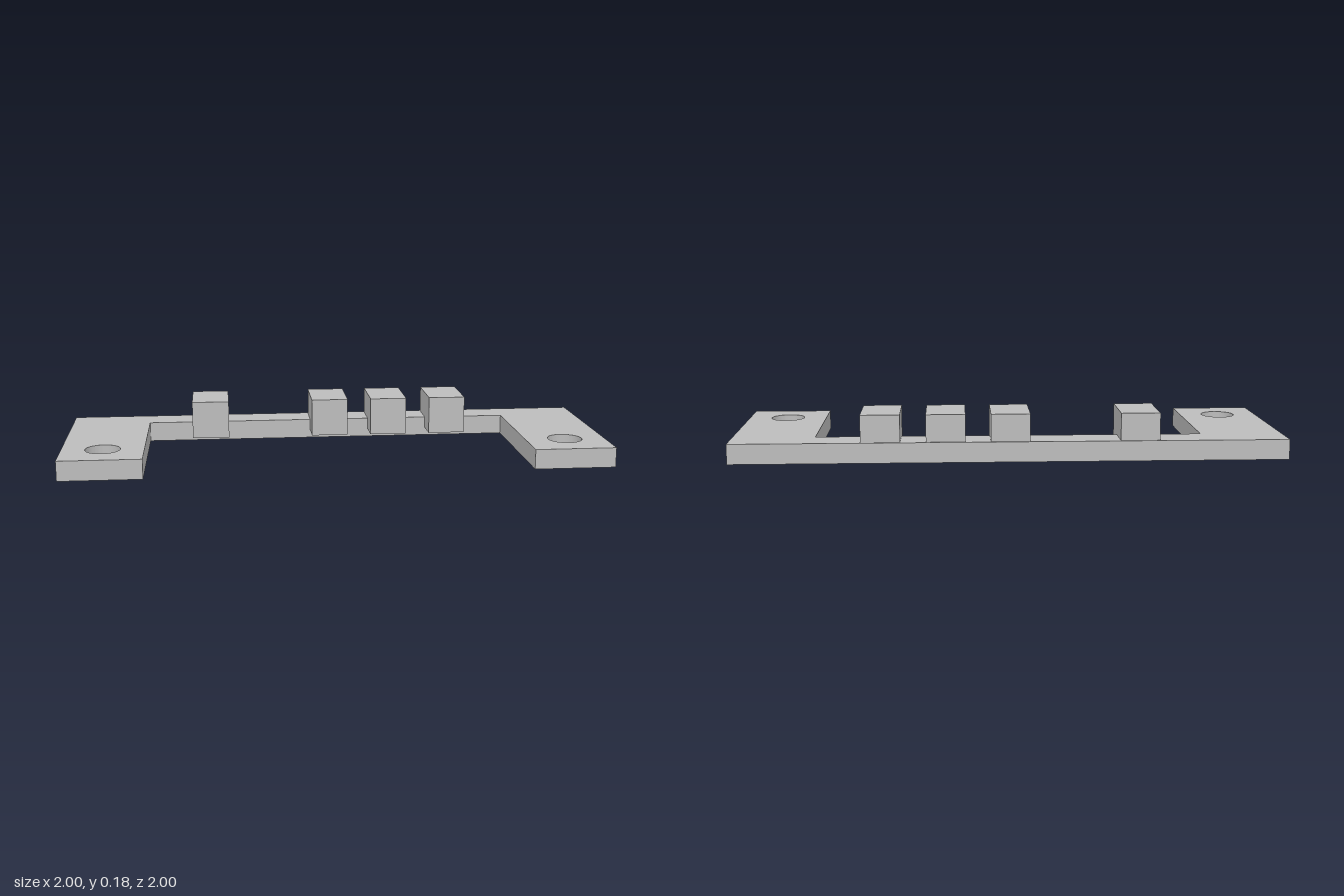
import * as THREE from 'three';
import { toCreasedNormals } from 'three/addons/utils/BufferGeometryUtils.js';

export function createModel() {
  const model = new THREE.Group();
  model.name = 'bracket';
  const grey = new THREE.MeshStandardMaterial({ color: 0xbcbcbc });
  grey.name = 'grey';

  // Flat U-shaped plate: a narrow bar with a wide arm at each end
  const endX = 1.054, innerX = 0.739, back = 0.36, barFront = 0.23;
  const outline = new THREE.Shape([
    [-endX, -back], [-innerX, -back], [-innerX, barFront], [innerX, barFront],
    [innerX, -back], [endX, -back], [endX, back], [-endX, back],
  ].map(([x, y]) => new THREE.Vector2(x, y)));

  // Round screw hole through each arm
  for (const side of [-1, 1]) {
    const hole = new THREE.Path();
    hole.absarc(side * 0.897, -0.197, 0.067, 0, Math.PI * 2, true);
    outline.holes.push(hole);
  }
  const plateGeometry = new THREE.ExtrudeGeometry(outline, {
    depth: 0.077, bevelEnabled: false, curveSegments: 32,
  });
  plateGeometry.rotateX(-Math.PI / 2);
  const plate = new THREE.Mesh(toCreasedNormals(plateGeometry, 0.6), grey);
  plate.name = 'plate';
  model.add(plate);

  // Blocks set into the bar, overhanging its front edge
  const blockGeometry = new THREE.BoxGeometry(0.148, 0.149, 0.223);
  [-0.488, 0, 0.243, 0.487].forEach((x, i) => {
    const block = new THREE.Mesh(blockGeometry, grey);
    block.name = `block${i + 1}`;
    block.position.set(x, 0.1065, -0.2415);
    model.add(block);
  });

  // The bracket lies diagonally
  model.rotation.y = Math.PI / 4;
  const root = new THREE.Group();
  root.name = 'model';
  root.add(model);
  return root;
}
